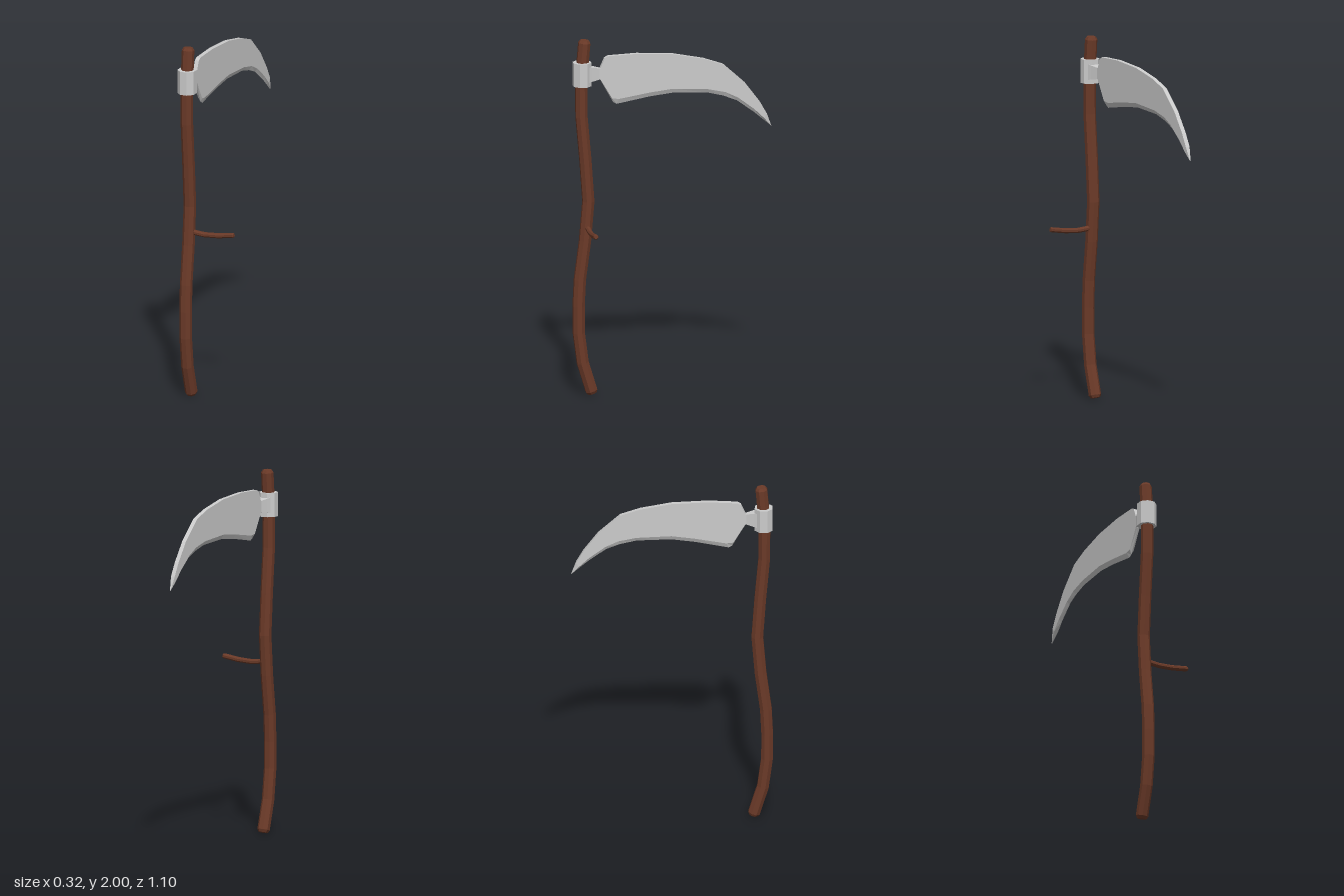
import * as THREE from 'three';

const AXIS_X = -0.113;
const wood = new THREE.MeshStandardMaterial({ color: 0x6b3a28, flatShading: true });
const metal = new THREE.MeshStandardMaterial({ color: 0xcccccc, flatShading: true });

// Skins rings of points (counter-clockwise about the travel direction) and caps both ends
function loft(name, rings, material) {
  const n = rings[0].length, last = (rings.length - 1) * n, index = [];
  for (let i = 0; i < rings.length - 1; i++) {
    for (let j = 0; j < n; j++) {
      const a = i * n + j, b = i * n + (j + 1) % n;
      index.push(a, b, b + n, a, b + n, a + n);
    }
  }
  for (let j = 1; j < n - 1; j++) {
    index.push(0, j + 1, j, last, last + j, last + j + 1);
  }
  const geometry = new THREE.BufferGeometry().setFromPoints(rings.flat());
  geometry.setIndex(index);
  const flat = geometry.toNonIndexed();
  flat.computeVertexNormals();
  const mesh = new THREE.Mesh(flat, material);
  mesh.name = name;
  return mesh;
}

// Eight-sided rod along a planar path, with its end edges chamfered
function rod(name, path, radius, side, bevel) {
  const first = path[0], end = path[path.length - 1];
  const inset = (p, q) => p.clone().add(q.clone().sub(p).setLength(bevel));
  const pts = [first, inset(first, path[1]), ...path.slice(1, -1),
    inset(end, path[path.length - 2]), end];
  const rings = pts.map((p, i) => {
    const tip = i === 0 || i === pts.length - 1;
    const t = pts[Math.min(i + 1, pts.length - 1)].clone()
      .sub(pts[Math.max(i - 1, 0)]).normalize();
    const v = t.clone().cross(side);
    const r = tip ? radius - bevel * 0.6 : radius;
    return Array.from({ length: 8 }, (_, j) => {
      const a = (j + 0.5) * Math.PI / 4;
      return p.clone().addScaledVector(side, r * Math.cos(a)).addScaledVector(v, r * Math.sin(a));
    });
  });
  return loft(name, rings, wood);
}

export function createModel() {
  const model = new THREE.Group();

  // Bowed shaft, points as [z, y]
  const shaftPath = [[0.447, 0.005], [0.5, 0.18], [0.522, 0.35], [0.523, 0.5], [0.516, 0.65],
    [0.487, 0.87], [0.469, 1.09], [0.485, 1.32], [0.507, 1.57], [0.508, 1.75], [0.503, 1.85],
    [0.49, 2]].map(([z, y]) => new THREE.Vector3(AXIS_X, y, z));
  model.add(rod('shaft', shaftPath, 0.0345, new THREE.Vector3(1, 0, 0), 0.015));

  // Curved side grip, points as [x, y]
  const gripPath = [[-0.11, 0.948], [-0.07, 0.941], [-0.02, 0.937], [0.06, 0.942], [0.157, 0.957]]
    .map(([x, y]) => new THREE.Vector3(x, y, 0.476));
  model.add(rod('sideGrip', gripPath, 0.0145, new THREE.Vector3(0, 0, 1), 0.006));

  // Octagonal collar
  const collar = new THREE.Mesh(
    new THREE.CylinderGeometry(0.053, 0.053, 0.132, 8, 1, false, Math.PI / 8), metal);
  collar.position.set(AXIS_X, 1.81, 0.504);
  collar.name = 'collar';
  model.add(collar);

  // Tang narrowing from collar to blade: [z, half width, bottom, top]
  const tang = [[0.47, 0.034, 1.766, 1.852], [0.45, 0.026, 1.77, 1.848],
    [0.41, 0.012, 1.777, 1.84], [0.37, 0.0105, 1.777, 1.84]].map(([z, w, lo, hi]) =>
    [[w, hi], [w, lo], [-w, lo], [-w, hi]].map(([x, y]) => new THREE.Vector3(AXIS_X + x, y, z)));
  model.add(loft('tang', tang, metal));

  // Blade sections, heel to tip: spine, bevel line and cutting edge, each as z, y
  const blade = [
    [0.405, 1.838, 0.405, 1.779, 0.403, 1.773],
    [0.38, 1.895, 0.339, 1.667, 0.332, 1.643],
    [0.36, 1.906, 0.3, 1.662, 0.312, 1.632],
    [0.2, 1.912, 0.13, 1.69, 0.13, 1.665],
    [0, 1.9, 0, 1.705, 0, 1.68],
    [-0.17, 1.866, -0.19, 1.694, -0.19, 1.672],
    [-0.28, 1.828, -0.29, 1.672, -0.28, 1.65],
    [-0.4, 1.718, -0.36, 1.638, -0.355, 1.62],
    [-0.48, 1.611, -0.45, 1.569, -0.45, 1.55],
    [-0.52, 1.54, -0.505, 1.515, -0.505, 1.502],
    [-0.548, 1.465, -0.548, 1.465, -0.548, 1.465],
  ].map(([sz, sy, bz, by, ez, ey], i, all) => {
    const w = i === all.length - 1 ? 0.002 : 0.012;
    return [[w, sy, sz], [w, by, bz], [0, ey, ez], [-w, by, bz], [-w, sy, sz]]
      .map(([x, y, z]) => new THREE.Vector3(AXIS_X + x, y, z));
  });
  model.add(loft('blade', blade, metal));

  return model;
}
